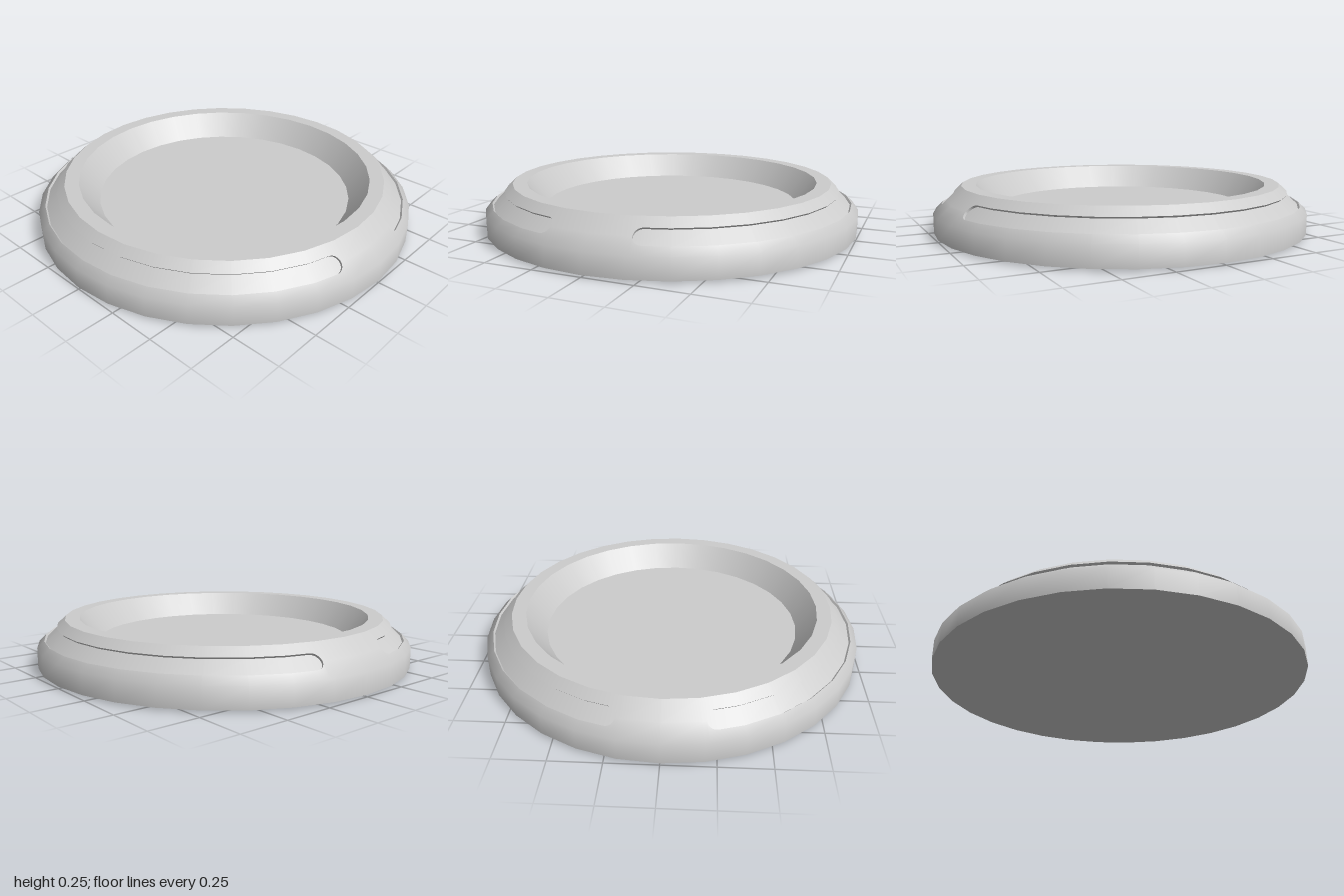
import * as THREE from 'three';

const SIDES = 32, STEP = Math.PI * 2 / SIDES;
const LOW = [1, 0.115], HIGH = [0.855, 0.25];        // chamfer edges [radius, height]
const SLOPE = Math.atan2(LOW[0] - HIGH[0], HIGH[1] - LOW[1]); // tilt of the chamfer normal
const GROOVE = { start: 0.218, end: Math.PI - 0.218, cap: 0.048, mid: 0.475, half: 0.225, depth: 0.012 };

const material = new THREE.MeshStandardMaterial({ color: 0xcccccc });

// Point on the 32-sided outline, so that extra samples stay on its flat sides
function onOutline(a, r, y) {
  const m = ((a % STEP) + STEP) % STEP;
  const k = r * Math.cos(STEP / 2) / Math.cos(m - STEP / 2);
  return [k * Math.sin(a), y, k * Math.cos(a)];
}

// Surface between two edges; each edge maps an angle to [radius, height, normal tilt]
function band(name, angles, lower, upper, smoothNormals = true) {
  const pos = [], nor = [], idx = [];
  angles.forEach((a, i) => {
    for (const [r, y, tilt] of [lower(a), upper(a)]) {
      pos.push(...onOutline(a, r, y));
      nor.push(Math.cos(tilt) * Math.sin(a), Math.sin(tilt), Math.cos(tilt) * Math.cos(a));
    }
    if (i > 0) {
      const b = 2 * i, p = b - 2;
      idx.push(p, b, b + 1, p, b + 1, p + 1);
    }
  });
  const g = new THREE.BufferGeometry();
  g.setAttribute('position', new THREE.Float32BufferAttribute(pos, 3));
  g.setAttribute('normal', new THREE.Float32BufferAttribute(nor, 3));
  g.setIndex(idx);
  if (!smoothNormals) g.computeVertexNormals();
  const mesh = new THREE.Mesh(g, material);
  mesh.name = name;
  return mesh;
}

function lathe(name, points) {
  const mesh = new THREE.Mesh(
    new THREE.LatheGeometry(points.map(p => new THREE.Vector2(...p)), SIDES), material);
  mesh.name = name;
  return mesh;
}

// Half height of the groove at an angle: full in the middle, rounded at both ends
function grooveHalf(angle) {
  const a = angle % Math.PI;
  const d = Math.min(a - GROOVE.start, GROOVE.end - a);
  if (d <= 1e-9) return 0;
  const u = Math.min(d / GROOVE.cap, 1);
  return GROOVE.half * Math.sqrt(1 - (1 - u) ** 2);
}

// Point on the chamfer at t from bottom (0) to top (1), sunk by depth
function chamfer(t, depth = 0) {
  const tilt = depth ? SLOPE : THREE.MathUtils.lerp(SLOPE / 2, SLOPE, Math.min(1, t * 2));
  return [
    THREE.MathUtils.lerp(LOW[0], HIGH[0], t) - depth * Math.cos(SLOPE),
    THREE.MathUtils.lerp(LOW[1], HIGH[1], t) - depth * Math.sin(SLOPE),
    tilt,
  ];
}

export function createModel() {
  const model = new THREE.Group();
  model.name = 'shallowDish';

  // Angles: the outline corners plus fine samples around the groove ends
  const corners = Array.from({ length: SIDES + 1 }, (_, i) => i * STEP);
  const caps = [];
  for (const turn of [0, Math.PI]) {
    for (let i = 0; i <= 8; i++) {
      const d = GROOVE.cap * (1 - Math.cos(i / 8 * Math.PI / 2));
      caps.push(turn + GROOVE.start + d, turn + GROOVE.end - d);
    }
  }
  const all = [...corners, ...caps].sort((a, b) => a - b);

  const upperEdge = a => chamfer(GROOVE.mid + grooveHalf(a));
  const lowerEdge = a => chamfer(GROOVE.mid - grooveHalf(a));
  const upperSunk = a => chamfer(GROOVE.mid + grooveHalf(a), GROOVE.depth);
  const lowerSunk = a => chamfer(GROOVE.mid - grooveHalf(a), GROOVE.depth);

  // Outer body
  model.add(
    lathe('underside', [[0, 0], [0.43, 0.002], [1, 0.01]]),
    band('sideWall', corners, () => [1, 0.01, 0], () => [...LOW, SLOPE / 2]),
    band('lowerChamfer', all, () => chamfer(0), lowerEdge),
    band('upperChamfer', all, upperEdge, () => chamfer(1)),
  );

  // Long grooves sunk into the chamfer, one on each side
  [['leftGroove', 0], ['rightGroove', Math.PI]].forEach(([name, turn]) => {
    const span = all.filter(a =>
      a >= turn + GROOVE.start - 1e-6 && a <= turn + GROOVE.end + 1e-6);
    const groove = new THREE.Group();
    groove.name = name;
    groove.add(
      band('grooveFloor', span, lowerSunk, upperSunk),
      band('grooveTopWall', span, upperSunk, upperEdge, false),
      band('grooveBottomWall', span, lowerEdge, lowerSunk, false),
    );
    model.add(groove);
  });

  // Rim and recessed centre
  model.add(
    lathe('rim', [HIGH, [0.78, 0.25]]),
    lathe('innerWall', [[0.78, 0.25], [0.68, 0.125]]),
    lathe('dishFloor', [[0.68, 0.125], [0, 0.125]]),
  );
  return model;
}
